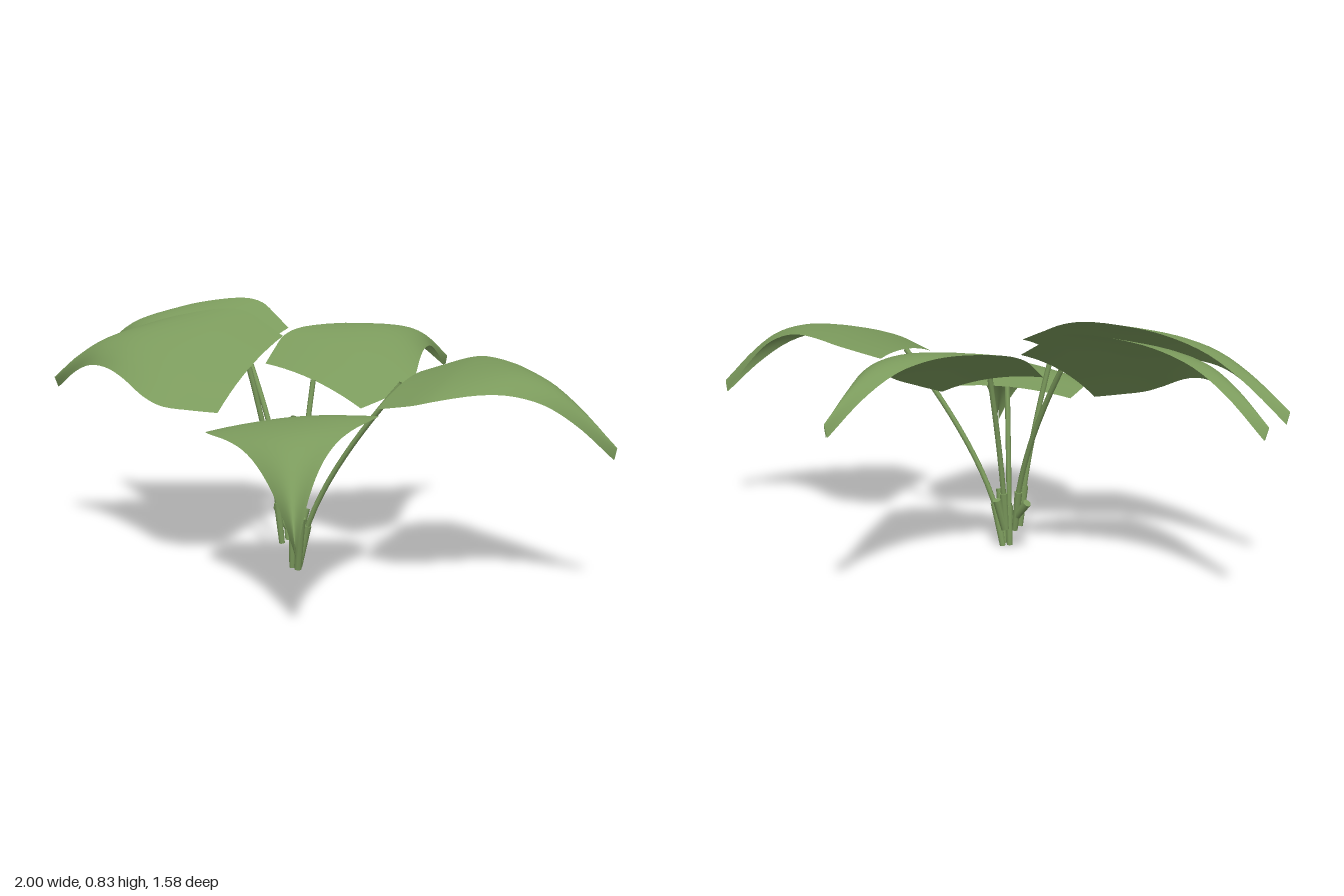
import * as THREE from 'three';

const green = new THREE.MeshStandardMaterial({ color: 0x7b9a5c, side: THREE.DoubleSide });
green.name = 'leafGreen';

const vec = (p) => new THREE.Vector3(...p);

// Blade stations from stalk to tip: [fraction of length, half width, height above chord]
const STATIONS = [
  [0, 0.215, 0], [0.09, 0.245, 0.036], [0.18, 0.27, 0.072], [0.26, 0.258, 0.1],
  [0.41, 0.188, 0.133], [0.53, 0.135, 0.143], [0.67, 0.086, 0.13], [0.82, 0.042, 0.082], [1, 0.003, 0],
];

// Arched leaf blade along +x, with its sides folded down a little
function bladeGeometry(length, width) {
  const curve = new THREE.CatmullRomCurve3(STATIONS.map(vec));
  const rows = 28, cols = 10, pos = [], index = [];
  for (let i = 0; i <= rows; i++) {
    const s = curve.getPoint(i / rows);
    const fold = 0.02 + 0.02 * s.x;
    for (let j = 0; j <= cols; j++) {
      const v = (j / cols) * 2 - 1;
      pos.push(s.x * length, s.z - fold * v * v, s.y * width * v);
      if (i < rows && j < cols) {
        const a = i * (cols + 1) + j, b = a + cols + 1;
        index.push(a, a + 1, b, a + 1, b + 1, b);
      }
    }
  }
  const geo = new THREE.BufferGeometry();
  geo.setAttribute('position', new THREE.Float32BufferAttribute(pos, 3));
  geo.setIndex(index);
  geo.computeVertexNormals();
  return geo;
}

// Blade running from base to tip, rolled about that line (positive raises its left side)
function makeBlade(base, tip, roll, width) {
  const dir = tip.clone().sub(base);
  const mesh = new THREE.Mesh(bladeGeometry(dir.length(), width), green);
  mesh.name = 'leafBlade';
  mesh.position.copy(base);
  mesh.rotation.set(roll, Math.atan2(-dir.z, dir.x), Math.atan2(dir.y, Math.hypot(dir.x, dir.z)), 'YZX');
  return mesh;
}

// Short thick tapered piece between two points
function makeSheath(from, to, rFrom, rTo, name) {
  const dir = to.clone().sub(from);
  const mesh = new THREE.Mesh(new THREE.CylinderGeometry(rTo, rFrom, dir.length(), 8), green);
  mesh.name = name;
  mesh.position.copy(from).addScaledVector(dir, 0.5);
  mesh.quaternion.setFromUnitVectors(new THREE.Vector3(0, 1, 0), dir.normalize());
  return mesh;
}

// Thin curved stalk with the thick sheath around its foot
function makeStalk(root, knee, end) {
  const group = new THREE.Group();
  group.name = 'stalk';
  const curve = new THREE.QuadraticBezierCurve3(root, knee, end);
  const stem = new THREE.Mesh(new THREE.TubeGeometry(curve, 14, 0.009, 7), green);
  stem.name = 'stem';
  group.add(stem, makeSheath(root, curve.getPoint(0.27), 0.01, 0.013, 'sheath'));
  return group;
}

const LEAVES = [
  { name: 'leftLeaf', root: [-0.045, 0.004, 0.05], knee: [-0.03, 0.25, 0.06], base: [0.315, 0.648, 0.115], tip: [1, 0.49, 0.15], roll: 0.13, width: 1 },
  { name: 'frontLeaf', root: [-0.065, 0.004, 0.065], knee: [-0.06, 0.25, 0.07], base: [-0.03, 0.53, 0.155], tip: [0.18, 0.29, 0.79], roll: 0.1, width: 1 },
  { name: 'backLeaf', root: [-0.07, 0.08, 0], knee: [-0.06, 0.3, -0.01], base: [-0.04, 0.61, -0.09], tip: [0.255, 0.605, -0.79], roll: 0.25, width: 1 },
  { name: 'backRightLeaf', root: [-0.1, 0.08, 0], knee: [-0.11, 0.32, -0.02], base: [-0.29, 0.665, -0.155], tip: [-0.98, 0.61, -0.49], roll: -0.48, width: 1 },
  { name: 'rightLeaf', root: [-0.105, 0.08, 0.05], knee: [-0.12, 0.32, 0.06], base: [-0.2, 0.67, 0.095], tip: [-1, 0.57, -0.115], roll: -0.44, width: 1.07 },
];

export function createModel() {
  const plant = new THREE.Group();
  plant.name = 'leafyPlant';
  for (const { name, root, knee, base, tip, roll, width } of LEAVES) {
    const leaf = new THREE.Group();
    leaf.name = name;
    leaf.add(makeStalk(vec(root), vec(knee), vec(base)), makeBlade(vec(base), vec(tip), roll, width));
    plant.add(leaf);
  }
  // Cut stubs between the stalks
  const stubs = [
    [[-0.04, 0.004, 0.08], [-0.018, 0.185, 0.11]],
    [[-0.1, 0.12, 0], [-0.15, 0.185, -0.03]],
    [[-0.065, 0.08, 0], [-0.045, 0.185, -0.025]],
  ];
  for (const [from, to] of stubs) plant.add(makeSheath(vec(from), vec(to), 0.012, 0.014, 'stalkStub'));
  return plant;
}
